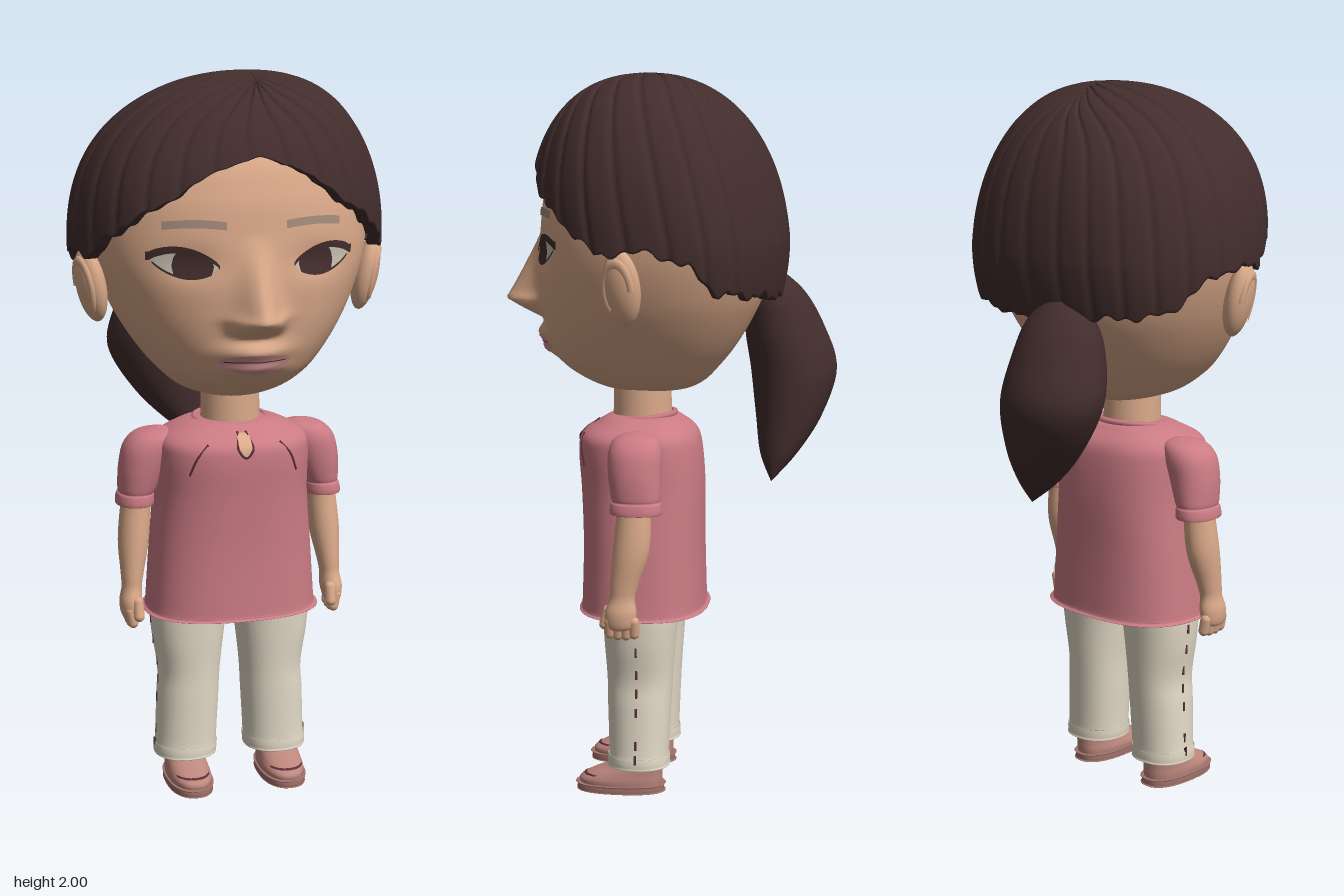
import * as THREE from 'three';

const mat = (name, color, side = THREE.FrontSide) =>
  Object.assign(new THREE.MeshStandardMaterial({ color, side }), { name });

// Grid surface: fn(u, v) -> [x, y, z]; wraps around in u when asked
function surface(nu, nv, wrap, fn) {
  const pos = [], idx = [], w = wrap ? nu : nu + 1;
  for (let j = 0; j <= nv; j++)
    for (let i = 0; i < w; i++) pos.push(...fn(i / nu, j / nv));
  for (let j = 0; j < nv; j++)
    for (let i = 0; i < nu; i++) {
      const a = j * w + i, b = j * w + (i + 1) % w;
      idx.push(a, b, b + w, a, b + w, a + w);
    }
  const g = new THREE.BufferGeometry();
  g.setAttribute('position', new THREE.Float32BufferAttribute(pos, 3));
  g.setIndex(idx);
  g.computeVertexNormals();
  return g;
}

// Cross-section rows: [y, centre x, half width, front z, back z], bottom to top
function rowAt(rows, t) {
  const f = t * (rows.length - 1), i = Math.min(Math.floor(f), rows.length - 2), s = f - i;
  const r = k => rows[Math.max(0, Math.min(rows.length - 1, k))];
  return rows[0].map((_, c) => {
    const a = r(i - 1)[c], b = r(i)[c], d = r(i + 1)[c], e = r(i + 2)[c];
    return b + 0.5 * s * (d - a + s * (2 * a - 5 * b + 4 * d - e + s * (3 * (b - d) + e - a)));
  });
}
const power = (v, n) => Math.sign(v) * Math.abs(v) ** (2 / n);
function loft(rows, n = 2, nu = 32, steps = 5, bump = null) {
  return surface(nu, (rows.length - 1) * steps, true, (u, v) => {
    const [y, cx, rx, zf, zb] = rowAt(rows, v), a = u * 2 * Math.PI;
    const x = cx + Math.max(0, rx) * power(Math.sin(a), n);
    const z = (zf + zb) / 2 + (zf - zb) / 2 * power(Math.cos(a), n);
    return [x, y, z + (bump && Math.cos(a) > 0 ? bump(x, y) : 0)];
  });
}
// Front surface of a loft at x, y
function frontZ(rows, n, x, y) {
  let lo = 0, hi = 1;
  for (let k = 0; k < 24; k++) {
    const m = (lo + hi) / 2;
    if (rowAt(rows, m)[0] < y) lo = m; else hi = m;
  }
  const [, cx, rx, zf, zb] = rowAt(rows, lo);
  return (zf + zb) / 2 + (zf - zb) / 2 * Math.max(0, 1 - Math.abs((x - cx) / rx) ** n) ** (1 / n);
}
const limb = (rows, side) => rows.map(([y, x, ...r]) => [y, x * side, ...r]);

const HEAD = [
  [1.125, 0, 0, 0.06, 0.06], [1.13, 0, 0.07, 0.15, -0.04], [1.155, 0, 0.145, 0.22, -0.1],
  [1.2, 0, 0.2, 0.29, -0.145], [1.25, 0, 0.245, 0.32, -0.185], [1.32, 0, 0.293, 0.342, -0.228],
  [1.4, 0, 0.335, 0.354, -0.265], [1.5, 0, 0.37, 0.36, -0.29], [1.6, 0, 0.383, 0.35, -0.295],
  [1.7, 0, 0.37, 0.335, -0.28], [1.8, 0, 0.325, 0.295, -0.23], [1.9, 0, 0.2, 0.19, -0.12], [1.94, 0, 0, 0.04, 0.04]];
const SHIRT = [
  [0.512, 0, 0, 0.07, 0.07], [0.51, 0, 0.23, 0.235, -0.1], [0.518, 0, 0.239, 0.244, -0.106],
  [0.54, 0, 0.237, 0.242, -0.104], [0.7, 0, 0.226, 0.238, -0.1], [0.85, 0, 0.214, 0.243, -0.1],
  [0.96, 0, 0.214, 0.25, -0.092], [1.01, 0, 0.205, 0.24, -0.078], [1.04, 0, 0.16, 0.195, -0.045],
  [1.058, 0, 0.1, 0.155, -0.012], [1.06, 0, 0, 0.07, 0.07]];
const ARM = [
  [0.5, 0.295, 0, 0.1, 0.1], [0.51, 0.295, 0.022, 0.135, 0.065], [0.55, 0.292, 0.031, 0.142, 0.055],
  [0.59, 0.288, 0.028, 0.13, 0.06], [0.63, 0.285, 0.032, 0.128, 0.05], [0.72, 0.277, 0.043, 0.122, 0.022],
  [0.82, 0.268, 0.042, 0.112, 0.018], [0.88, 0.26, 0.04, 0.11, 0.02], [0.9, 0.26, 0, 0.065, 0.065]];
const SLEEVE = [
  [0.83, 0.27, 0, 0.06, 0.06], [0.822, 0.27, 0.046, 0.12, -0.002], [0.828, 0.27, 0.053, 0.13, -0.012],
  [0.85, 0.268, 0.051, 0.128, -0.01], [0.856, 0.266, 0.048, 0.124, -0.006], [0.87, 0.263, 0.053, 0.128, -0.008],
  [0.93, 0.25, 0.064, 0.137, -0.008], [0.99, 0.232, 0.068, 0.138, -0.008], [1.025, 0.212, 0.052, 0.118, 0.01],
  [1.038, 0.2, 0, 0.06, 0.06]];
const LEG = [
  [0.08, 0.132, 0, 0.07, 0.07], [0.076, 0.132, 0.08, 0.15, -0.01], [0.085, 0.132, 0.089, 0.157, -0.016],
  [0.11, 0.131, 0.09, 0.157, -0.016], [0.118, 0.13, 0.087, 0.154, -0.014], [0.25, 0.124, 0.088, 0.158, -0.02],
  [0.33, 0.12, 0.088, 0.16, -0.025], [0.43, 0.122, 0.101, 0.167, -0.032], [0.52, 0.12, 0.11, 0.172, -0.04],
  [0.58, 0.112, 0.112, 0.172, -0.04], [0.59, 0.112, 0, 0.07, 0.07]];
const SOLE = [[0, 0.136, 0, 0.12, 0.12], [0, 0.136, 0.058, 0.235, 0.005], [0.004, 0.136, 0.063, 0.245, 0],
  [0.018, 0.136, 0.063, 0.245, 0], [0.022, 0.136, 0.06, 0.24, 0.004], [0.022, 0.136, 0, 0.12, 0.12]];
const FOOT = [[0.018, 0.136, 0.059, 0.237, 0.006], [0.035, 0.136, 0.061, 0.238, 0.004], [0.052, 0.137, 0.058, 0.212, 0.004],
  [0.072, 0.138, 0.054, 0.165, 0.004], [0.092, 0.138, 0.05, 0.13, 0.006], [0.095, 0.138, 0, 0.06, 0.06]];
const TAIL = [
  [0.875, 0.03, 0, -0.29, -0.29], [0.95, -0.015, 0.062, -0.256, -0.36], [1.05, -0.065, 0.115, -0.24, -0.425],
  [1.18, -0.105, 0.152, -0.222, -0.465], [1.3, -0.105, 0.138, -0.205, -0.428], [1.4, -0.095, 0.1, -0.22, -0.37],
  [1.47, -0.085, 0, -0.29, -0.29]];

// Nose, nostrils, lips and eye sockets raised from the face
const bell = (x, y, cx, cy, sx, sy) => Math.exp(-(((x - cx) / sx) ** 2) - ((y - cy) / sy) ** 2);
function face(x, y) {
  const t = y > 1.38 ? Math.max(0, (1.6 - y) / 0.22) ** 1.5 : Math.max(0, (y - 1.325) / 0.055) ** 0.8;
  let z = 0.11 * t * Math.exp(-((x / (0.03 + 0.024 * t)) ** 2));
  z += 0.036 * bell(x, y, 0, 1.285, 0.085, 0.03) + 0.03 * bell(x, y, 0, 1.24, 0.075, 0.02);
  for (const s of [-1, 1])
    z += 0.028 * bell(x, y, s * 0.05, 1.363, 0.026, 0.024) - 0.014 * bell(x, y, s * 0.17, 1.525, 0.08, 0.045);
  return z;
}

// Hairline height around the head, from front (0) to back (pi)
const HAIRLINE = [[0, 1.81], [0.25, 1.77], [0.6, 1.675], [0.95, 1.6], [1.2, 1.53], [1.6, 1.535], [1.85, 1.5], [2.1, 1.425], [3.2, 1.39]];
function hairline(a) {
  const b = Math.abs(a > Math.PI ? a - 2 * Math.PI : a);
  const i = Math.max(1, HAIRLINE.findIndex(p => p[0] >= b)), [p, q] = [HAIRLINE[i - 1], HAIRLINE[i]];
  const y = THREE.MathUtils.lerp(p[1], q[1], (b - p[0]) / (q[0] - p[0]));
  return y + Math.min(1, b) * (0.007 * Math.sin(a * 17 + 1) + 0.006 * Math.sin(a * 41));
}
// Strands run from a short parting on the crown down to the hairline
function hairPoint(u, v) {
  const a = u * 2 * Math.PI, n = 2.2, dome = t => Math.max(0, 1 - t ** 2.25) ** (1 / 2.25);
  const phi0 = Math.asin((hairline(a) - 1.55) / 0.45);
  const phi = phi0 + (Math.PI / 2 - phi0) * Math.max(0, (v - 0.04) / 0.96);
  let s = Math.sin(phi), up = Math.max(0, s);
  const r = phi > 0 ? dome(s) : 1 - 0.5 * s * s;
  const x = r * power(Math.sin(a), n), z = r * power(Math.cos(a), n) + 0.36 * Math.cos(a) * up ** 6;
  if (up > 0) s = up = dome((Math.abs(x) ** n + Math.abs(z) ** n) ** (1 / n));
  const groove = (1 - Math.abs(Math.sin(a * 13 + 1.5 * phi + 0.7 * Math.sin(a * 2)))) ** 3;
  const k = (1 - 0.02 * groove + 0.006 * Math.sin(a * 7 + 2 * phi) * (1 - up)) * (v < 0.02 ? 0.92 : 1);
  return [k * (0.05 * up ** 4 + 0.432 * x), 1.55 + 0.45 * s * (1 - 0.02 * groove * up),
    k * (0.01 + 0.04 * up + 0.345 * z * (1 + 0.06 * Math.max(0, Math.cos(a))))];
}

export function createModel() {
  const model = new THREE.Group();
  const skin = mat('skin', 0xdbaa8a), hairM = mat('dark brown hair', 0x432d2d, THREE.DoubleSide);
  const shirt = mat('rose shirt', 0xcb7b84), pants = mat('cream trousers', 0xe4dbc8);
  const shoe = mat('dusty pink shoe', 0xbd877d), sole = mat('brown sole', 0xa0716a);
  const white = mat('eye white', 0xc9c0b0), lip = mat('lip', 0xd29292);
  const brow = mat('grey brown brow', 0xa48b7b), line = mat('dark seam', 0x5a3036);

  const add = (name, geo, m, parent = model) => {
    const mesh = Object.assign(new THREE.Mesh(geo, m), { name });
    parent.add(mesh);
    return mesh;
  };
  // Thin plate following a front surface, bounded by lower and upper curves
  const patch = (name, m, x0, x1, lower, upper, z, off) =>
    add(name, surface(24, 6, false, (u, v) => {
      const x = x0 + (x1 - x0) * u, y = THREE.MathUtils.lerp(lower(x), upper(x), v);
      return [x, y, z(x, y) + off];
    }), m);
  const headZ = (x, y) => frontZ(HEAD, 2.2, x, y) + face(x, y);
  const shirtZ = (x, y) => frontZ(SHIRT, 2.5, x, y);
  const cord = (name, pts, r, m, closed = false) => add(name, new THREE.TubeGeometry(
    new THREE.CatmullRomCurve3(pts.map(p => new THREE.Vector3(...p)), closed), 40, r, 6, closed), m);

  // Head, neck and hair
  add('head', loft(HEAD, 2.2, 160, 11, face), skin);
  add('neck', new THREE.CylinderGeometry(0.08, 0.084, 0.18, 32), skin).position.set(0, 1.08, 0.075);
  add('hair', surface(312, 60, true, hairPoint), hairM);
  add('ponytail', loft(TAIL, 2, 48, 8), hairM);

  // Mouth
  const mouth = x => Math.sqrt(Math.max(0, 1 - (x / 0.1) ** 2));
  patch('lips', lip, -0.1, 0.1, x => 1.26 - 0.03 * mouth(x), x => 1.26 + 0.024 * mouth(x), headZ, 0.003);
  patch('mouthLine', line, -0.085, 0.085, () => 1.262, () => 1.265, headZ, 0.005);

  for (const s of [-1, 1]) {
    const span = (a, b) => (s > 0 ? [a, b] : [-b, -a]);
    // Eyes and brows
    const k = x => Math.max(0, Math.min(1, (Math.abs(x) - 0.1) / 0.17));
    const lid = x => 1.518 + 0.02 * k(x) + 0.03 * Math.sin(Math.PI * k(x)) ** 0.7;
    const low = x => 1.518 + 0.02 * k(x) - 0.038 * Math.sin(Math.PI * k(x)) ** 0.7;
    const disc = x => Math.sqrt(Math.max(0, 0.052 ** 2 - (Math.abs(x) - 0.166) ** 2));
    patch('eyeWhite', white, ...span(0.1, 0.27), low, lid, headZ, 0.003);
    patch('iris', hairM, ...span(0.114, 0.218), x => Math.max(low(x), 1.52 - disc(x)),
      x => Math.max(low(x), Math.min(lid(x), 1.52 + disc(x))), headZ, 0.005);
    patch('upperLash', hairM, ...span(0.1, 0.28), x => lid(x) - 0.005, x => lid(x) + 0.005 + 0.012 * k(x), headZ, 0.007);
    patch('lowerLash', hairM, ...span(0.12, 0.265), x => low(x) - 0.004, x => low(x) + 0.002, headZ, 0.006);
    const arch = x => 1.616 + 0.006 * Math.sin((Math.abs(x) - 0.08) / 0.16 * Math.PI);
    patch('brow', brow, ...span(0.08, 0.24), x => arch(x) - 0.003, x => arch(x) + 0.018, headZ, 0.004);

    // Ears
    const ear = Object.assign(new THREE.Group(), { name: 'ear' });
    ear.position.set(s * 0.387, 1.442, 0.08);
    ear.rotation.set(0, -0.35 * s, -0.2 * s);
    model.add(ear);
    add('earLobe', new THREE.SphereGeometry(1, 24, 16), skin, ear).scale.set(0.036, 0.104, 0.054);
    const rim = add('earRim', new THREE.TorusGeometry(0.038, 0.01, 10, 32, Math.PI * 1.3), skin, ear);
    rim.rotation.y = Math.PI / 2;
    rim.scale.y = 1.8;
    rim.position.x = s * 0.02;

    // Arms and hands
    add('sleeve', loft(limb(SLEEVE, s), 2.2), shirt);
    add('arm', loft(limb(ARM, s)), skin);
    for (let i = 0; i < 4; i++) {
      const finger = add('finger', new THREE.CapsuleGeometry(0.015, 0.035, 4, 10), skin);
      finger.position.set(s * 0.295, 0.505 + 0.004 * Math.abs(i - 1.5), 0.062 + i * 0.022);
      finger.rotation.z = -0.2 * s;
    }
    const thumb = add('thumb', new THREE.CapsuleGeometry(0.015, 0.04, 4, 10), skin);
    thumb.position.set(s * 0.278, 0.535, 0.14);
    thumb.rotation.x = -0.25;

    // Trouser legs with a stitched side seam
    add('trouserLeg', loft(limb(LEG, s), 2.2), pants);
    for (let i = 0; i < 8; i++) {
      const r = rowAt(LEG, 0.3 + i * 0.065);
      add('seamStitch', new THREE.BoxGeometry(0.004, 0.026, 0.006), line)
        .position.set(s * (r[1] + r[2]), r[0], (r[3] + r[4]) / 2);
    }

    // Shoes
    add('sole', loft(limb(SOLE, s), 2.4), sole);
    add('shoe', loft(limb(FOOT, s), 2.3), shoe);
    patch('toeStrap', line, ...span(0.09, 0.184), () => 0.046, () => 0.05, (x, y) => frontZ(limb(FOOT, s), 2.3, x, y), 0.003);

    // Pleat at the front of the shirt
    cord('pleat', [[0.1, 1.015], [0.13, 0.98], [0.15, 0.93]].map(([x, y]) => [s * x, y, shirtZ(s * x, y) + 0.001]), 0.003, line);
  }

  // Shirt with collar and keyhole opening
  add('shirtBody', loft(SHIRT, 2.5, 64, 6), shirt);
  cord('collar', [...Array(16)].map((_, i) => {
    const a = i / 16 * 2 * Math.PI;
    return [0.1 * Math.sin(a), 1.054 - 0.008 * Math.cos(a), 0.072 + 0.088 * Math.cos(a)];
  }), 0.009, shirt, true);
  patch('keyhole', skin, -0.018, 0.018, x => 1 - Math.sqrt(Math.max(0, 0.018 ** 2 - x * x)), () => 1.038, shirtZ, 0.003);
  cord('keyholeEdge', [[-0.012, 1.04], [-0.02, 1.0], [0, 0.978], [0.02, 1.0], [0.012, 1.04]]
    .map(([x, y]) => [x, y, shirtZ(x, y) + 0.002]), 0.0035, line);
  return model;
}
